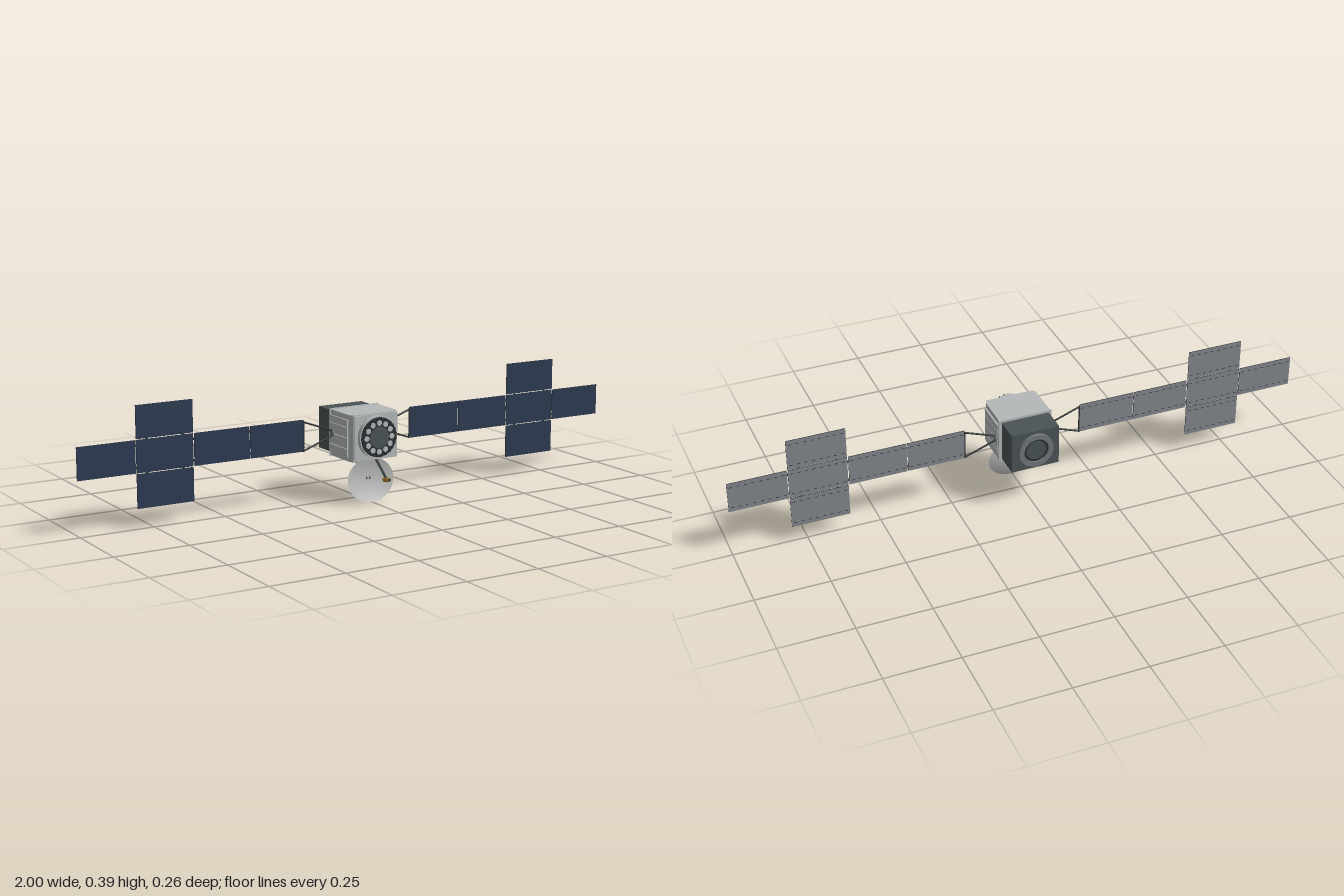
import * as THREE from 'three';

const mat = (name, color, side = THREE.FrontSide) => {
  const m = new THREE.MeshStandardMaterial({ color, side });
  m.name = name;
  return m;
};

export function createModel() {
  const root = new THREE.Group();
  root.name = 'satellite';

  const light = mat('light grey', 0xb4b8b8);
  const dishGrey = mat('dish grey', 0xbcbcbc, THREE.DoubleSide);
  const mid = mat('mid grey', 0x72777f);
  const dark = mat('dark slate', 0x4a5355);
  const black = mat('charcoal', 0x2c3032);
  const navy = mat('solar navy', 0x2c3a52);
  const backGrey = mat('panel back grey', 0x83878d);
  const gold = mat('gold', 0xb8862f);

  const CY = 0.227; // height of the main axis
  const WZ = -0.01; // depth of the wings

  const add = (parent, name, geo, material, x = 0, y = 0, z = 0) => {
    const m = new THREE.Mesh(geo, material);
    m.name = name;
    m.position.set(x, y, z);
    parent.add(m);
    return m;
  };
  const box = (parent, name, material, x0, x1, y0, y1, z0, z1) =>
    add(parent, name, new THREE.BoxGeometry(x1 - x0, y1 - y0, z1 - z0), material,
      (x0 + x1) / 2, (y0 + y1) / 2, (z0 + z1) / 2);
  // Cylinder along z from z0 to z1
  const disc = (parent, name, material, r, z0, z1, x = 0, y = CY, seg = 40) =>
    add(parent, name, new THREE.CylinderGeometry(r, r, z1 - z0, seg).rotateX(Math.PI / 2),
      material, x, y, (z0 + z1) / 2);
  // Rod between two points
  const rod = (parent, name, material, a, b, r, r2 = r, seg = 10) => {
    const p = new THREE.Vector3(...a), q = new THREE.Vector3(...b);
    const d = q.clone().sub(p);
    const m = add(parent, name, new THREE.CylinderGeometry(r2, r, d.length(), seg), material);
    m.position.copy(p).add(q).multiplyScalar(0.5);
    m.quaternion.setFromUnitVectors(new THREE.Vector3(0, 1, 0), d.normalize());
    return m;
  };

  // Main body: footprint with chamfered front corners, extruded upwards
  const body = new THREE.Group();
  body.name = 'body';
  root.add(body);
  const foot = (w, z0, z1, z2, w2) => new THREE.Shape(
    [[-w, -z0], [-w, -z1], [-w2, -z2], [w2, -z2], [w, -z1], [w, -z0]]
      .map(([x, y]) => new THREE.Vector2(x, y)));
  const slab = (name, shape, y0, y1) => add(body, name,
    new THREE.ExtrudeGeometry(shape, { depth: y1 - y0, bevelEnabled: false }).rotateX(-Math.PI / 2),
    light, 0, y0, 0);
  slab('hull', foot(0.09, -0.03, 0.09, 0.101, 0.084), 0.148, 0.303);
  box(body, 'frontPlate', light, -0.082, 0.082, 0.151, 0.3, 0.1, 0.108);
  box(body, 'rearRim', light, -0.094, 0.094, 0.146, 0.305, -0.034, -0.028);

  // Slatted radiators on both sides
  const slats = [[0.162, 0.189], [0.191, 0.226], [0.228, 0.261], [0.263, 0.286]];
  for (const s of [-1, 1]) {
    const side = (name, m, x0, x1, y0, y1, z0, z1) =>
      box(body, name, m, Math.min(s * x0, s * x1), Math.max(s * x0, s * x1), y0, y1, z0, z1);
    side('radiatorBase', mid, 0.088, 0.0915, 0.162, 0.286, -0.029, 0.086);
    for (const [y0, y1] of slats) side('radiatorSlat', light, 0.09, 0.096, y0, y1, -0.029, 0.085);
  }

  // Front docking ring
  const ring = new THREE.Group();
  ring.name = 'frontRing';
  root.add(ring);
  disc(ring, 'ringCollar', light, 0.07, 0.107, 0.123);
  disc(ring, 'ringFace', black, 0.066, 0.122, 0.128);
  disc(ring, 'ringHub', dark, 0.036, 0.126, 0.13);
  for (let i = 0; i < 12; i++) {
    const a = (i / 12) * Math.PI * 2;
    disc(ring, 'ringBolt', light, 0.0095, 0.127, 0.13,
      Math.cos(a) * 0.048, CY + Math.sin(a) * 0.048, 10);
  }
  for (let i = 0; i < 24; i++) {
    const a = ((i + 0.5) / 24) * Math.PI * 2;
    disc(ring, 'ringStud', black, 0.0045, 0.127, 0.133,
      Math.cos(a) * 0.061, CY + Math.sin(a) * 0.061, 8);
  }

  // Dark rear module with hollow engine ring
  box(root, 'rearModule', dark, -0.083, 0.083, 0.156, 0.297, -0.121, -0.032);
  const hole = new THREE.Shape().absarc(0, 0, 0.06, 0, Math.PI * 2, false);
  hole.holes.push(new THREE.Path().absarc(0, 0, 0.043, 0, Math.PI * 2, true));
  add(root, 'rearRing', new THREE.ExtrudeGeometry(hole,
    { depth: 0.012, bevelEnabled: false, curveSegments: 24 }), mid, 0, CY, -0.132);
  disc(root, 'rearRingCore', black, 0.044, -0.125, -0.12);
  disc(root, 'rearNozzle', dark, 0.034, -0.128, -0.124);

  // Oval antenna dish, its supports and feed
  const dish = new THREE.Group();
  dish.name = 'antenna';
  root.add(dish);
  const profile = [];
  for (let i = 0; i <= 10; i++) profile.push(new THREE.Vector2(i / 10, 0.015 * (i / 10) ** 2));
  const bowlGeo = new THREE.LatheGeometry(profile, 40).scale(0.088, 1, 0.0745);
  bowlGeo.computeVertexNormals();
  const bowl = add(dish, 'dishBowl', bowlGeo, dishGrey, 0, 0.073, 0.06);
  bowl.rotation.x = Math.PI / 2 - 0.11;
  for (const s of [-1, 1])
    rod(dish, 'dishStrut', dark, [s * 0.035, 0.15, 0.019], [s * 0.004, 0.074, 0.061], 0.003);
  rod(dish, 'feedArm', dark, [0.005, 0.15, 0.099], [0.037, 0.08, 0.116], 0.0045);
  rod(dish, 'feedHorn', gold, [0.037, 0.077, 0.104], [0.037, 0.08, 0.131], 0.0095, 0.0065, 16);
  rod(dish, 'feedCap', black, [0.037, 0.08, 0.131], [0.037, 0.0801, 0.132], 0.005, 0.005, 16);

  // Solar wings: navy face, grey back, charcoal edges
  const panelMats = [black, black, black, black, navy, backGrey];
  const panel = (parent, x0, x1, y0, y1) => {
    box(parent, 'solarPanel', panelMats, x0, x1, y0, y1, WZ - 0.0015, WZ + 0.0015);
    // Dashed seams on the back
    const n = 8, step = (x1 - x0) / n;
    for (const t of [0.14, 0.86])
      for (let i = 0; i < n; i++) {
        const x = x0 + (i + 0.5) * step, y = y0 + (y1 - y0) * t;
        box(parent, 'backSeam', black, x - 0.005, x + 0.005, y - 0.001, y + 0.001,
          WZ - 0.0022, WZ - 0.0012);
      }
  };
  const cols = [[0.205, 0.401], [0.404, 0.601], [0.605, 0.801], [0.804, 1]];
  for (const s of [-1, 1]) {
    const wing = new THREE.Group();
    wing.name = s > 0 ? 'leftWing' : 'rightWing';
    root.add(wing);
    const span = (a, b) => [Math.min(s * a, s * b), Math.max(s * a, s * b)];
    for (const [a, b] of cols) panel(wing, ...span(a, b), 0.177, 0.283);
    for (const [y0, y1] of [[0.063, 0.174], [0.286, 0.393]])
      panel(wing, ...span(0.605, 0.801), y0, y1);
    // Hinges between panels
    for (const x of [0.4025, 0.603, 0.8025])
      for (const y of [0.195, 0.265])
        box(wing, 'hinge', black, ...span(x - 0.004, x + 0.004), y - 0.004, y + 0.004,
          WZ - 0.001, WZ + 0.001);
    for (const x of [0.64, 0.766])
      for (const y of [0.1755, 0.2845])
        box(wing, 'hinge', black, ...span(x - 0.004, x + 0.004), y - 0.004, y + 0.004,
          WZ - 0.001, WZ + 0.001);
    // Yoke from the body pivot to the inner panel edge
    rod(wing, 'pivot', mid, [s * 0.088, CY, WZ], [s * 0.099, CY, WZ], 0.011, 0.011, 20);
    for (const t of [-1, 1])
      rod(wing, 'yokeArm', black, [s * 0.095, CY + t * 0.008, WZ],
        [s * 0.204, CY + t * 0.048, WZ], 0.003);
    rod(wing, 'yokeBar', black, [s * 0.204, CY - 0.051, WZ], [s * 0.204, CY + 0.051, WZ], 0.0025);
  }
  return root;
}
